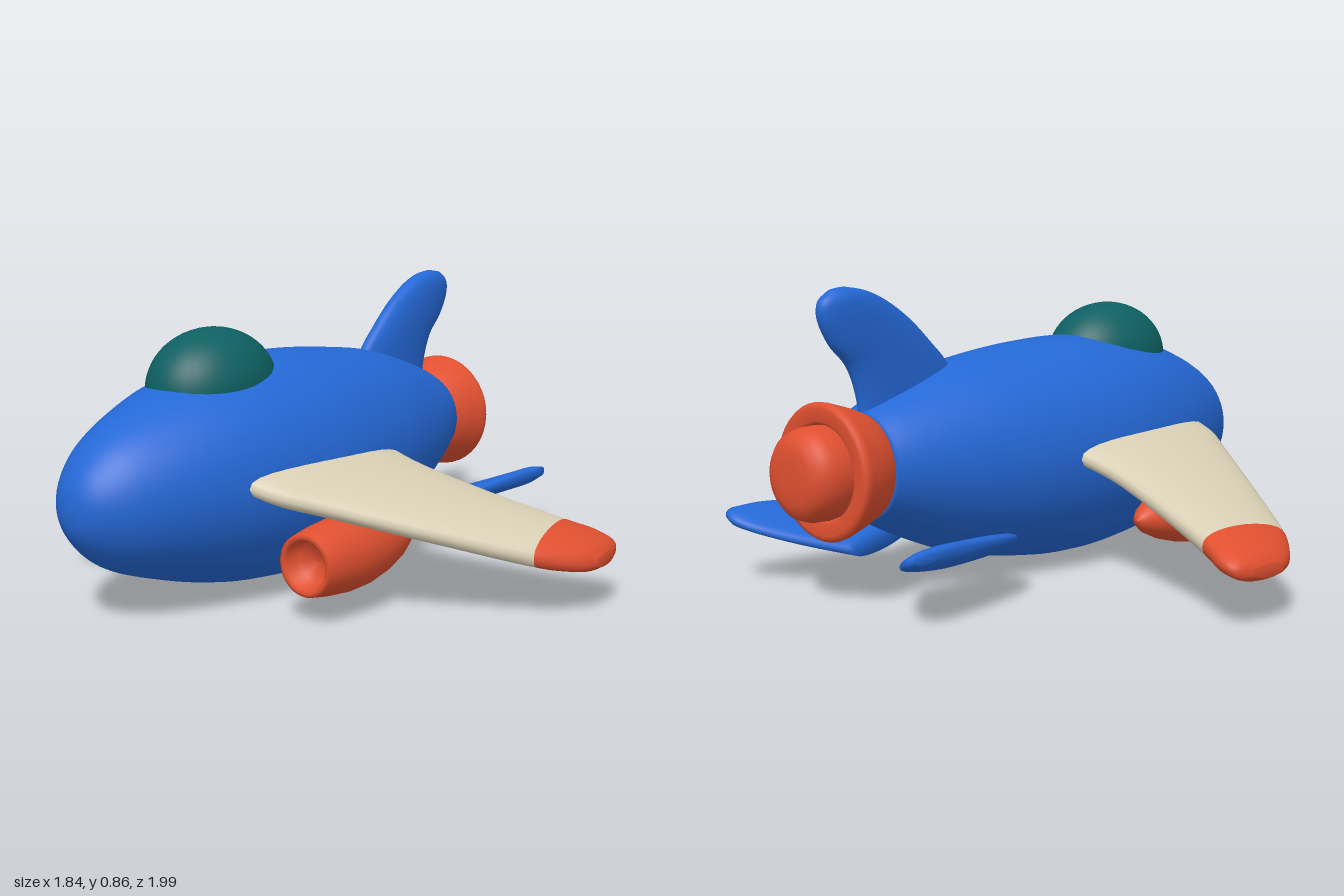
import * as THREE from 'three';

const mat = (name, color, side = THREE.FrontSide) => {
  const m = new THREE.MeshStandardMaterial({ color, side });
  m.name = name;
  return m;
};

// Smooth skin through rings of points; a change of material may start at control ring `split`.
function loft(rings, { steps = 6, split = 0 } = {}) {
  const n = rings[0].length, rows = (rings.length - 1) * steps;
  const curves = rings[0].map((_, i) => new THREE.CatmullRomCurve3(rings.map(r => r[i])));
  const pts = [];
  for (let j = 0; j <= rows; j++) for (const c of curves) pts.push(c.getPoint(j / rows));
  const centre = j => pts.slice(j * n, j * n + n)
    .reduce((s, p) => s.add(p), new THREE.Vector3()).divideScalar(n);
  const start = pts.length, end = start + 1;
  const c0 = centre(0), c1 = centre(rows);
  pts.push(c0, c1);
  const index = [];
  let splitAt = 0;
  for (let i = 0; i < n; i++) index.push(start, (i + 1) % n, i);
  for (let j = 0; j < rows; j++) {
    if (j === split * steps) splitAt = index.length;
    for (let i = 0; i < n; i++) {
      const a = j * n + i, b = j * n + (i + 1) % n;
      index.push(a, b, a + n, b, b + n, a + n);
    }
  }
  for (let i = 0; i < n; i++) index.push(end, rows * n + i, rows * n + (i + 1) % n);
  // turn the faces outward
  let volume = 0;
  const cross = new THREE.Vector3();
  for (let k = 0; k < index.length; k += 3)
    volume += pts[index[k]].dot(cross.crossVectors(pts[index[k + 1]], pts[index[k + 2]]));
  if (volume < 0) for (let k = 0; k < index.length; k += 3)
    [index[k + 1], index[k + 2]] = [index[k + 2], index[k + 1]];
  const g = new THREE.BufferGeometry().setFromPoints(pts);
  g.setIndex(index);
  if (split) {
    g.addGroup(0, splitAt, 0);
    g.addGroup(splitAt, index.length - splitAt, 1);
  }
  g.computeVertexNormals();
  return g;
}

// Fin rings from rows of [leading x, leading span, trailing x, trailing span, thickness]
function finRings(sections, place, n = 28) {
  return sections.map(([lx, ls, tx, ts, th]) => Array.from({ length: n }, (_, i) => {
    const a = i / n * Math.PI * 2, c = (1 - Math.cos(a)) / 2, s = Math.sin(a);
    return place(lx + (tx - lx) * c, ls + (ts - ls) * c,
      Math.sign(s) * Math.abs(s) ** 0.8 * th / 2);
  }));
}

// Lathe along x; profile rows are [x, radius]
function turned(profile, y, z) {
  const g = new THREE.LatheGeometry(profile.map(([x, r]) => new THREE.Vector2(r, x)), 40);
  return g.rotateZ(-Math.PI / 2).translate(0, y, z);
}

export function createModel() {
  const group = new THREE.Group();
  const blue = mat('blue', 0x2468d6);
  const red = mat('red', 0xe05030, THREE.DoubleSide);
  const cream = mat('cream', 0xd9cfb5);
  const teal = mat('teal', 0x0e6062);
  const add = (name, geometry, material) => {
    const m = new THREE.Mesh(geometry, material);
    m.name = name;
    group.add(m);
  };

  // Fuselage: [x, centre y, half height, half width], nose at -x
  const hull = [
    [-0.92, 0.335, 0.012, 0.012], [-0.91, 0.335, 0.06, 0.055], [-0.88, 0.336, 0.11, 0.1],
    [-0.8, 0.338, 0.182, 0.165], [-0.6, 0.345, 0.265, 0.255], [-0.4, 0.345, 0.315, 0.312],
    [-0.18, 0.341, 0.335, 0.34], [0, 0.34, 0.332, 0.334], [0.2, 0.345, 0.308, 0.305],
    [0.35, 0.352, 0.278, 0.268], [0.5, 0.36, 0.228, 0.222], [0.62, 0.368, 0.178, 0.178],
    [0.68, 0.37, 0.148, 0.152],
  ];
  add('fuselage', loft(hull.map(([x, y, ry, rz]) => Array.from({ length: 48 }, (_, i) => {
    const a = i / 24 * Math.PI;
    return new THREE.Vector3(x, y + ry * Math.sin(a), rz * Math.cos(a));
  }))), blue);

  // Cockpit canopy
  add('canopy', new THREE.SphereGeometry(1, 40, 28).scale(0.215, 0.17, 0.165)
    .translate(-0.37, 0.6, 0), teal);

  // Upright tail fin
  const tail = [
    [0.28, 0.5, 0.67, 0.42, 0.085], [0.35, 0.63, 0.68, 0.55, 0.085],
    [0.42, 0.7, 0.715, 0.645, 0.085], [0.5, 0.77, 0.775, 0.71, 0.085],
    [0.59, 0.826, 0.812, 0.785, 0.08], [0.66, 0.853, 0.808, 0.825, 0.065],
    [0.72, 0.863, 0.775, 0.854, 0.03],
  ];
  add('tailFin', loft(finRings(tail, (x, s, n) => new THREE.Vector3(x, s, n))), blue);

  const wing = [
    [-0.54, 0.22, 0.14, 0.22, 0.12], [-0.51, 0.33, 0.115, 0.33, 0.115],
    [-0.42, 0.45, 0.115, 0.43, 0.11], [-0.25, 0.67, 0.165, 0.64, 0.105],
    [-0.07, 0.89, 0.23, 0.83, 0.1], [-0.02, 0.935, 0.27, 0.915, 0.09],
    [0.04, 0.975, 0.265, 0.96, 0.07], [0.1, 0.995, 0.21, 0.985, 0.035],
  ];
  const stabiliser = [
    [0.34, 0.18, 0.6, 0.12, 0.06], [0.35, 0.28, 0.71, 0.205, 0.062],
    [0.43, 0.345, 0.775, 0.265, 0.06], [0.55, 0.382, 0.825, 0.325, 0.058],
    [0.68, 0.403, 0.846, 0.37, 0.055], [0.79, 0.412, 0.842, 0.4, 0.03],
  ];
  const pod = [
    [-0.42, 0], [-0.43, 0.055], [-0.475, 0.068], [-0.482, 0.077], [-0.478, 0.087],
    [-0.42, 0.097], [-0.34, 0.105], [-0.26, 0.103], [-0.18, 0.09], [-0.1, 0.068],
    [-0.04, 0.042], [-0.01, 0.02], [0, 0],
  ];
  for (const [side, k] of [['right', 1], ['left', -1]]) {
    // Drooping wing with a red tip
    add(side + 'Wing', loft(finRings(wing, (x, s, n) =>
      new THREE.Vector3(x, 0.35 - 0.3 * (s - 0.33) + n, k * s)), { split: 4 }), [cream, red]);
    // Small rear fin sloping up and out
    add(side + 'Stabiliser', loft(finRings(stabiliser, (x, s, n) =>
      new THREE.Vector3(x, 0.155 + 0.38 * (s - 0.28) + n, k * s))), blue);
    // Engine pod with a dished front
    add(side + 'EnginePod', turned(pod, 0.17, k * 0.43), red);
  }

  // Rear nozzle: flared ring and the domed plug inside it
  add('nozzleRing', turned([
    [0.66, 0.1], [0.672, 0.14], [0.68, 0.15], [0.73, 0.17], [0.79, 0.188], [0.805, 0.19],
    [0.815, 0.184], [0.818, 0.172], [0.816, 0.14], [0.81, 0.132], [0.74, 0.125], [0.74, 0],
  ], 0.37, 0), red);
  add('nozzlePlug', turned([
    [0.74, 0.12], [0.82, 0.13], [0.86, 0.128], [0.89, 0.118], [0.908, 0.1],
    [0.917, 0.075], [0.92, 0.04], [0.92, 0],
  ], 0.37, 0), red);

  return group;
}
